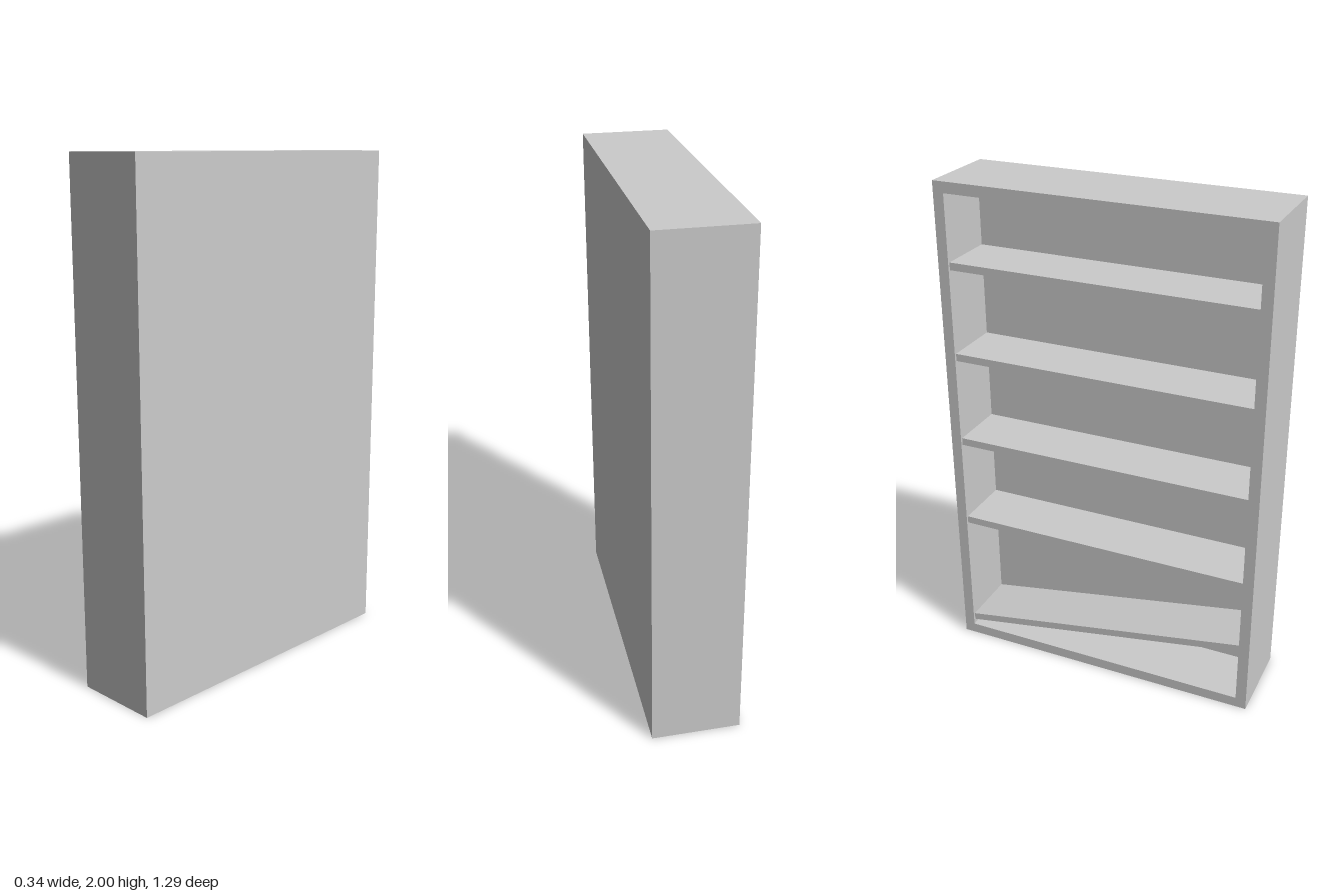
import * as THREE from 'three';

const W = 0.345, H = 2, L = 1.29; // depth (x), height (y), length (z)
const T = 0.043;                  // frame thickness
const BACK = 0.097;               // back panel thickness
const SHELF = 0.03;               // shelf thickness
const RECESS = 0.009;             // shelves sit slightly behind the frame edge

export function createModel() {
  const group = new THREE.Group();
  group.name = 'bookcase';
  const material = new THREE.MeshStandardMaterial({ color: 0xcccccc });

  function board(name, sx, sy, sz, x, y, z) {
    const mesh = new THREE.Mesh(new THREE.BoxGeometry(sx, sy, sz), material);
    mesh.name = name;
    mesh.position.set(x, y, z);
    group.add(mesh);
    return mesh;
  }

  const innerL = L - 2 * T;
  const innerH = H - 2 * T;

  // Outer case, open towards -x
  for (const s of [-1, 1]) board(s > 0 ? 'frontSidePanel' : 'rearSidePanel', W, H, T, 0, H / 2, s * (L - T) / 2);
  board('topPanel', W, T, innerL, 0, H - T / 2, 0);
  board('bottomPanel', W, T, innerL, 0, T / 2, 0);
  board('backPanel', BACK, innerH, innerL, (W - BACK) / 2, H / 2, 0);

  // Four level shelves
  const depth = W - BACK - RECESS;
  const shelfX = -W / 2 + RECESS + depth / 2;
  for (let i = 0; i < 4; i++) {
    board('shelf' + (i + 1), depth, SHELF, innerL, shelfX, 1.695 - i * 0.368 - SHELF / 2, 0);
  }

  // Lowest shelf has slipped: high at +z, low at -z
  const low = 0.093, high = 0.298;
  const angle = Math.atan2(high - low, innerL);
  const fallen = board('tiltedShelf', depth, SHELF, innerL / Math.cos(angle), shelfX, (low + high) / 2 - SHELF / 2, 0);
  fallen.rotation.x = -angle;

  return group;
}
